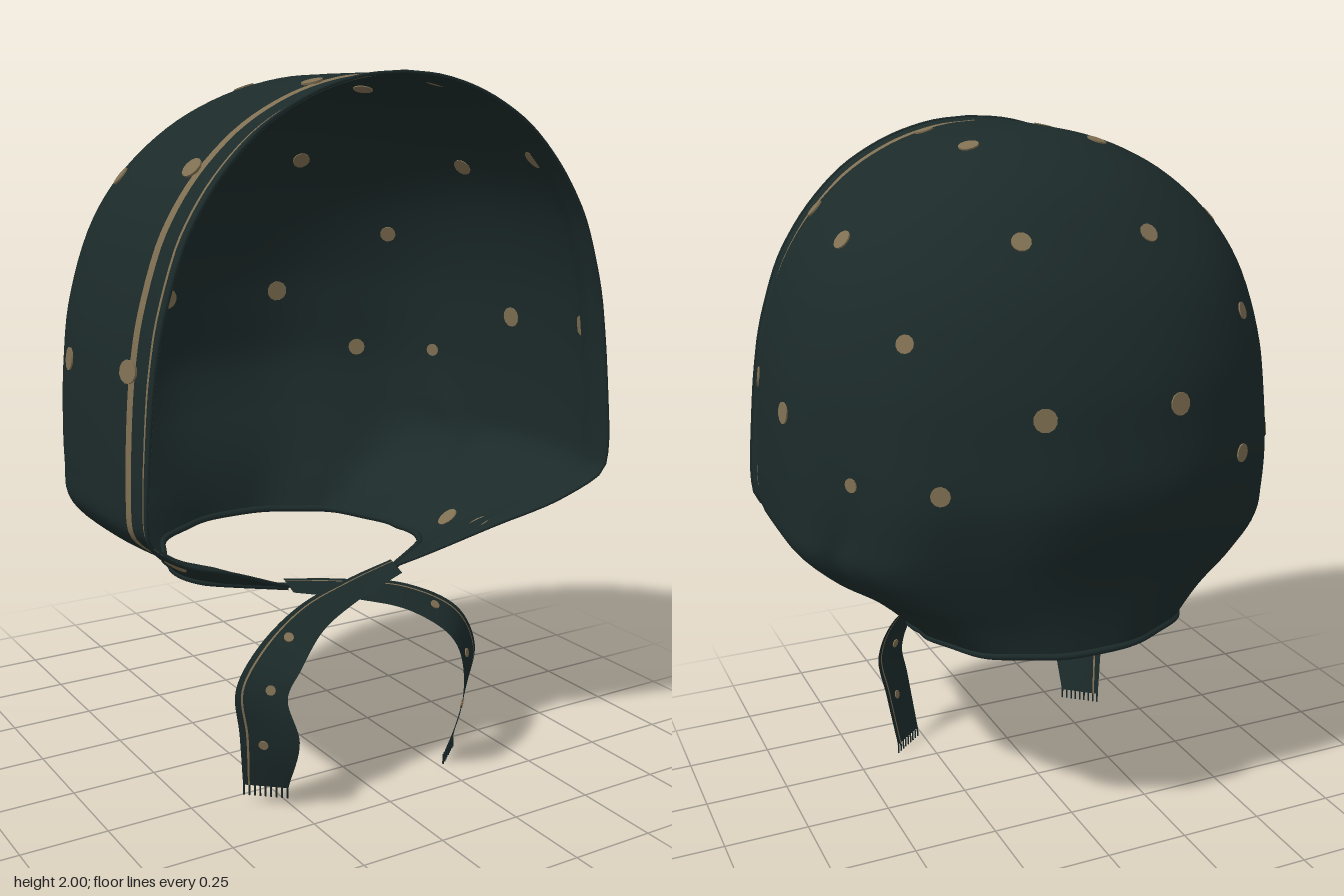
import * as THREE from 'three';
import { mergeVertices } from 'three/addons/utils/BufferGeometryUtils.js';

const V = (x, y, z) => new THREE.Vector3(x, y, z);
const { smoothstep } = THREE.MathUtils;
const material = (name, color) => {
  const m = new THREE.MeshStandardMaterial({ color, side: THREE.DoubleSide });
  m.name = name;
  return m;
};

// Horizontal slices from crown to neckline:
// half width, height, back z, half width at front edge, z of widest point, front z
const SLICES = [
  [0, 2, 0.15, 0, 0.15, 0.515],
  [0.13, 1.989, 0.035, 0.125, 0.15, 0.515],
  [0.285, 1.945, -0.095, 0.27, 0.15, 0.515],
  [0.44, 1.861, -0.23, 0.415, 0.15, 0.515],
  [0.575, 1.737, -0.34, 0.535, 0.15, 0.515],
  [0.66, 1.6, -0.425, 0.62, 0.15, 0.515],
  [0.722, 1.4, -0.49, 0.685, 0.15, 0.515],
  [0.743, 1.25, -0.51, 0.71, 0.15, 0.515],
  [0.752, 1.1, -0.522, 0.725, 0.15, 0.518],
  [0.752, 0.97, -0.495, 0.735, 0.14, 0.52],
  [0.742, 0.88, -0.465, 0.73, 0.12, 0.515],
  [0.65, 0.785, -0.44, 0.61, 0.08, 0.455],
  [0.52, 0.7, -0.427, 0.4, 0.04, 0.365],
  [0.41, 0.6, -0.42, 0.18, 0, 0.24],
];
const outer = new THREE.CatmullRomCurve3(SLICES.map((s) => V(s[0], s[1], s[2])));
const inner = new THREE.CatmullRomCurve3(SLICES.map((s) => V(s[3], s[4], s[5])));

// Point on the cap: t runs crown to neck, c runs front edge (0) to side (1) to mid back (2)
function capPoint(t, c, side) {
  const { x: w, y, z: back } = outer.getPoint(t);
  const { x: wf, y: zc, z: front } = inner.getPoint(t);
  const p = V(0, y, 0);
  if (c <= 1) {
    const length = front - zc;
    const d = c <= 0.11 ? c : 0.11 + ((c - 0.11) / 0.89) * (length - 0.11);
    const q = 1 - d / length;
    // shallow channel behind the flared front edge
    const dip = 0.026 * Math.exp(-(((d - 0.06) / 0.035) ** 2));
    p.x = side * (w + (wf - w) * q * q) * (1 - dip);
    p.y -= Math.max(0, y - 1.1) * dip * 0.5;
    p.z = front - d;
  } else {
    const a = ((c - 1) * Math.PI) / 2;
    // soft gathers that deepen toward the neck, and one sharper pleat at the side
    const pleat = Math.exp(-(((a - 0.6 + (t - 0.6) * 1.1) / 0.07) ** 2));
    const fold = 1 + 0.017 * smoothstep(t, 0.4, 0.75) *
      Math.sin(a * 10 + (side > 0 ? 0 : 0.8 * Math.cos(a))) * Math.sin(2 * a) -
      0.022 * smoothstep(t, 0.58, 0.8) * pleat;
    p.x = side * w * Math.cos(a) ** 0.95 * fold;
    p.z = zc + (back - zc) * Math.sin(a) ** 0.95 * fold;
  }
  // neckline tilts down to the front
  p.y -= 0.035 * p.z * smoothstep(t, 0.9, 1);
  return p;
}

// Sheet from a grid of points, with chosen cells in the trim colour
function sheet(name, rows, cols, point, isTrim, materials) {
  const pos = [], plain = [], trim = [];
  for (let i = 0; i <= rows; i++)
    for (let j = 0; j <= cols; j++) pos.push(...point(i / rows, j).toArray());
  for (let i = 0; i < rows; i++)
    for (let j = 0; j < cols; j++) {
      const a = i * (cols + 1) + j, b = a + cols + 1;
      (isTrim(j, i / rows) ? trim : plain).push(a, b, a + 1, b, b + 1, a + 1);
    }
  let g = new THREE.BufferGeometry();
  g.setAttribute('position', new THREE.Float32BufferAttribute(pos, 3));
  g.setIndex([...plain, ...trim]);
  g.addGroup(0, plain.length, 0);
  g.addGroup(plain.length, trim.length, 1);
  g = mergeVertices(g, 1e-5);
  g.computeVertexNormals();
  const mesh = new THREE.Mesh(g, materials);
  mesh.name = name;
  return mesh;
}

export function createModel() {
  const model = new THREE.Group();
  model.name = 'bonnet';
  const cloth = material('dark green cloth', 0x1c2a2a);
  const tan = material('tan print', 0x7f6f52);

  // Cap, with two stripes woven along the front edge
  const border = [0, 0.018, 0.037, 0.054, 0.092, 0.109];
  const half = [...border, 0.3, 0.5, 0.7, 0.85, 1];
  for (let i = 1; i <= 36; i++) half.push(1 + i / 36);
  const columns = [
    ...half.map((c) => [c, 1]),
    ...half.slice(0, -1).reverse().map((c) => [c, -1]),
  ];
  const n = columns.length - 1;
  const isStripe = (j, t) => t < 0.93 && [2, 4].includes(Math.min(j, n - 1 - j));
  model.add(sheet('cap', 64, n, (t, j) => capPoint(t, ...columns[j]), isStripe, [cloth, tan]));

  // Plain facing sewn inside the front edge
  for (const side of [1, -1]) {
    const facing = (t, j) => {
      const p = capPoint(t, border[j], side);
      return p.addScaledVector(V(-p.x, 1.1 - p.y, 0).normalize(), 0.006);
    };
    model.add(sheet('frontFacing', 64, border.length - 1, facing, () => false, [cloth, tan]));
  }

  // Hems on the neckline and face opening
  const hem = (name, points, r) => {
    const curve = new THREE.CatmullRomCurve3(points);
    const mesh = new THREE.Mesh(new THREE.TubeGeometry(curve, 120, r, 6), cloth);
    mesh.name = name;
    model.add(mesh);
  };
  hem('neckHem', columns.filter(([c]) => c === 0 || c > 0.2).map(([c, s]) => capPoint(1, c, s)), 0.011);
  const edge = [];
  for (let i = -40; i <= 40; i++) edge.push(capPoint(Math.abs(i) / 40, 0, i < 0 ? -1 : 1));
  hem('faceHem', edge, 0.005);

  // Printed dots, each settled on the nearest point of the cap
  const dotShape = new THREE.CylinderGeometry(1, 1, 0.007, 12);
  const addDot = (parent, p, normal, r) => {
    const dot = new THREE.Mesh(dotShape, tan);
    dot.name = 'dot';
    dot.position.copy(p);
    dot.quaternion.setFromUnitVectors(V(0, 1, 0), normal);
    dot.scale.set(r, 1, r);
    parent.add(dot);
  };
  const dots = new THREE.Group();
  dots.name = 'capDots';
  model.add(dots);
  // x, y, z, radius
  const targets = [
    [0.19, 1.97, 0.03, 0.029], [0.56, 1.745, 0.025, 0.028], [0.73, 1.27, 0.07, 0.031],
    [0.19, 1.77, -0.315, 0.027], [0.51, 1.53, -0.3, 0.025], [0.187, 1.315, -0.49, 0.032],
    [0.45, 1.135, -0.39, 0.027], [0.635, 1.12, -0.22, 0.02],
    [0.185, 1.97, 0.385, 0.029], [0.52, 1.75, 0.385, 0.029], [0.7, 1.29, 0.395, 0.03],
    [0.47, 0.67, 0.11, 0.034], [0.42, 0.71, 0.31, 0.036],
  ];
  for (const side of [1, -1])
    for (const [x, y, z, r] of targets) {
      const goal = V(side * x, y, z);
      let best = Infinity, bt = 0, bc = 0;
      for (let t = 0.02; t < 0.99; t += 0.01)
        for (let c = 0.02; c < 1.98; c += 0.02) {
          const d = capPoint(t, c, side).distanceToSquared(goal);
          if (d < best) [best, bt, bc] = [d, t, c];
        }
      const e = 0.01;
      const down = capPoint(bt + e, bc, side).sub(capPoint(bt - e, bc, side));
      const along = capPoint(bt, bc + e, side).sub(capPoint(bt, bc - e, side));
      addDot(dots, capPoint(bt, bc, side), down.cross(along).normalize(), r);
    }

  // Crossed ribbon ties with fringed ends
  const path = [
    V(-0.18, 0.595, 0.24), V(0, 0.565, 0.28), V(0.17, 0.525, 0.33), V(0.295, 0.445, 0.385),
    V(0.35, 0.33, 0.39), V(0.33, 0.2, 0.395), V(0.315, 0.03, 0.345),
  ];
  const widths = [
    V(0, 0.012, -0.03), V(0, 0.02, -0.035), V(0.02, 0.026, -0.038), V(0.045, 0.022, -0.045),
    V(0.055, 0.01, -0.045), V(0.058, 0, -0.065), V(0.049, 0, -0.042),
  ];
  const ribbonCols = [-1, -0.4, 0.2, 0.7, 0.78, 1];
  for (const side of [1, -1]) {
    const tie = new THREE.Group();
    tie.name = side > 0 ? 'leftTie' : 'rightTie';
    const lift = side > 0 ? 0 : 0.03;
    const shift = (p, i) => V(side * p.x, p.y + (i > 3 ? lift : 0), p.z + (side < 0 && i < 3 ? 0.012 : 0));
    const mid = new THREE.CatmullRomCurve3(path.map(shift));
    const wide = new THREE.CatmullRomCurve3(widths.map((w) => V(side * w.x, w.y, w.z)));
    const at = (t, k) => mid.getPoint(t).addScaledVector(wide.getPoint(t), k);
    tie.add(sheet('ribbon', 48, 5, (t, j) => at(t, ribbonCols[j]), (j) => j === 3, [cloth, tan]));
    for (const [t, k] of [[0.42, 0.2], [0.64, -0.3], [0.86, 0.2]])
      addDot(tie, at(t, k), mid.getTangent(t).cross(wide.getPoint(t)).normalize(), 0.014);
    for (let i = 0; i < 9; i++) {
      const thread = new THREE.Mesh(new THREE.BoxGeometry(0.004, 0.03, 0.004), cloth);
      thread.name = 'fringe';
      thread.position.copy(at(1, -0.96 + i * 0.24));
      thread.position.y -= 0.015;
      tie.add(thread);
    }
    model.add(tie);
  }
  return model;
}
